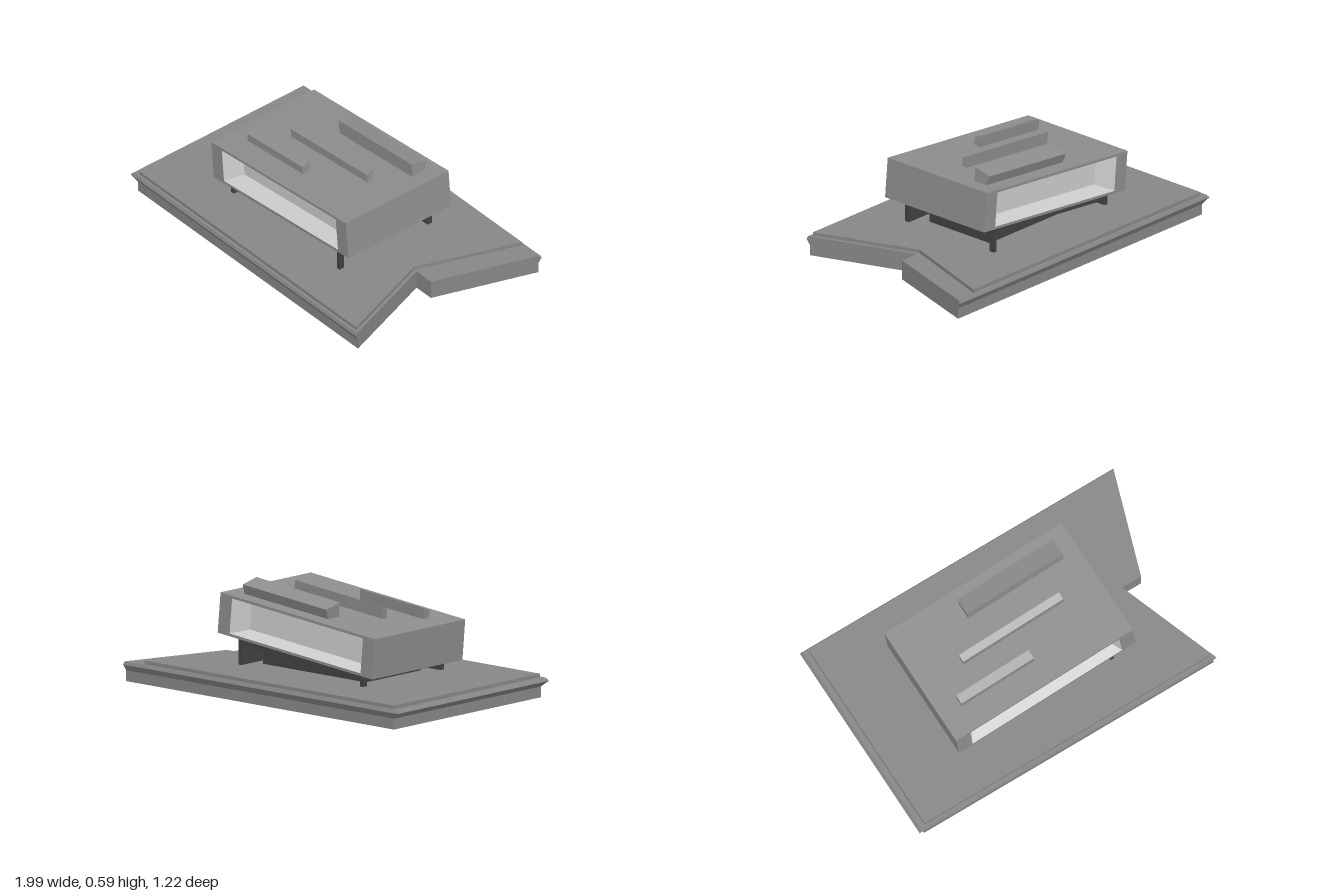
import * as THREE from 'three';

const paint = (color, side = THREE.DoubleSide) =>
  new THREE.MeshStandardMaterial({ color, flatShading: true, side });
const baseGrey = paint(0x868686);
const housingGrey = paint(0x8d8d8d);
const panelGrey = paint(0xcccccc);
const darkGrey = paint(0x414141);
const darkInside = paint(0x414141, THREE.BackSide);

// Loft along z: sections are [z, [[x, y], ...]] with counter-clockwise outlines
function loft(sections, capStart = true, capEnd = true) {
  const pos = [];
  const tri = (...pts) => pts.forEach(p => pos.push(...p));
  const rings = sections.map(([z, pts]) => pts.map(([x, y]) => [x, y, z]));
  for (let s = 0; s < rings.length - 1; s++) {
    const a = rings[s], b = rings[s + 1], n = a.length;
    for (let i = 0; i < n; i++) {
      const j = (i + 1) % n;
      tri(a[i], a[j], b[j]);
      tri(a[i], b[j], b[i]);
    }
  }
  const cap = (ring, flip) => {
    const pts = ring.map(p => new THREE.Vector2(p[0], p[1]));
    for (const [a, b, c] of THREE.ShapeUtils.triangulateShape(pts, [])) {
      if (flip) tri(ring[a], ring[c], ring[b]);
      else tri(ring[a], ring[b], ring[c]);
    }
  };
  if (capStart) cap(rings[0], true);
  if (capEnd) cap(rings[rings.length - 1], false);
  const geo = new THREE.BufferGeometry();
  geo.setAttribute('position', new THREE.Float32BufferAttribute(pos, 3));
  geo.computeVertexNormals();
  return geo;
}

const rect = (w, h) => [[-w, -h], [w, -h], [w, h], [-w, h]];

function add(parent, name, geo, material) {
  const mesh = new THREE.Mesh(geo, material);
  mesh.name = name;
  parent.add(mesh);
  return mesh;
}

export function createModel() {
  const model = new THREE.Group();
  model.name = 'model';

  // Base slab with a flared rim and a stepped notch on the right end
  const outline = (left, depth) => [
    [-left, -depth], [0.67 + 0.356 * depth, -depth], [0.67, 0],
    [0.79, 0], [0.79 + 0.335 * depth, depth], [-left, depth],
  ];
  add(model, 'baseSlab', loft([
    [0, outline(0.96, 0.59)],
    [0.06, outline(0.96, 0.59)],
    [0.093, outline(1, 0.608)],
    [0.11, outline(0.985, 0.6)],
  ]).rotateX(-Math.PI / 2), baseGrey);

  // Raised deck plate
  const deck = [[-0.955, -0.585], [0.86, -0.585], [0.65, 0], [0.86, 0.585], [-0.955, 0.585]];
  add(model, 'deckPlate', loft([[0.1, deck], [0.13, deck]]).rotateX(-Math.PI / 2), baseGrey);

  // Support: recessed wedge, inner lining, sloping apron frame and four corner legs
  const bottomAt = x => 0.243 + 0.093 * x;
  const prism = (x0, x1, low0, low1, z0, z1) => {
    const p = [[x0, low0], [x1, low1], [x1, bottomAt(x1) + 0.01], [x0, bottomAt(x0) + 0.01]];
    return loft([[z0, p], [z1, p]]);
  };
  add(model, 'supportWedge', prism(-0.42, 0.33, 0.125, 0.125, -0.22, 0.22), darkGrey);
  add(model, 'supportLining', prism(-0.473, 0.39, 0.125, 0.125, -0.295, 0.295), darkInside);
  const drop = 0.038;
  const ends = [[-0.495, -0.473], [0.39, 0.412]];
  for (const [z0, z1] of [[0.295, 0.325], [-0.325, -0.295]]) {
    add(model, 'supportApron',
      prism(-0.495, 0.412, bottomAt(-0.495) - drop, bottomAt(0.412) - drop, z0, z1), darkGrey);
    for (const [x0, x1] of ends) {
      add(model, 'supportLeg', prism(x0, x1, 0.125, 0.125, z0, z1), darkGrey);
    }
  }
  for (const [x0, x1] of ends) {
    add(model, 'supportEndApron',
      prism(x0, x1, bottomAt(x0) - drop, bottomAt(x1) - drop, -0.295, 0.295), darkGrey);
  }

  // Tilted housing, open at the front and back
  const housing = new THREE.Group();
  housing.name = 'housing';
  housing.position.set(-0.043, 0.355, 0);
  housing.rotation.z = 0.0928;
  model.add(housing);
  const W = 0.564, H = 0.113, D = 0.362;
  const opening = rect(0.478, 0.098);
  add(housing, 'housingShell', loft([
    [-D, opening], [-D, rect(W, H)], [D, rect(W, H)], [D, opening],
  ], false, false), housingGrey);

  // Light recessed panel with sloping reveals in each opening
  for (const turn of [0, Math.PI]) {
    add(housing, 'recessedPanel',
      loft([[D, opening], [0.26, rect(0.425, 0.078)]], false, true).rotateY(turn), panelGrey);
  }

  // Slant-topped bars: x range, front z, back z, back z at the foot, front and back heights
  const bars = [
    [-0.433, 0.03, 0.215, 0.165, 0.17, 0.045, 0.062],
    [-0.3, 0.34, 0.022, -0.018, -0.015, 0.048, 0.068],
    [-0.14, 0.47, -0.185, -0.293, -0.272, 0.08, 0.055],
  ];
  for (const [x0, x1, zf, zb, zFoot, hf, hb] of bars) {
    const p = [[-zf, H - 0.005], [-zFoot, H - 0.005], [-zb, H + hb], [-zf, H + hf]];
    add(housing, 'topBar', loft([[x0, p], [x1, p]]).rotateY(Math.PI / 2), housingGrey);
  }

  return model;
}
